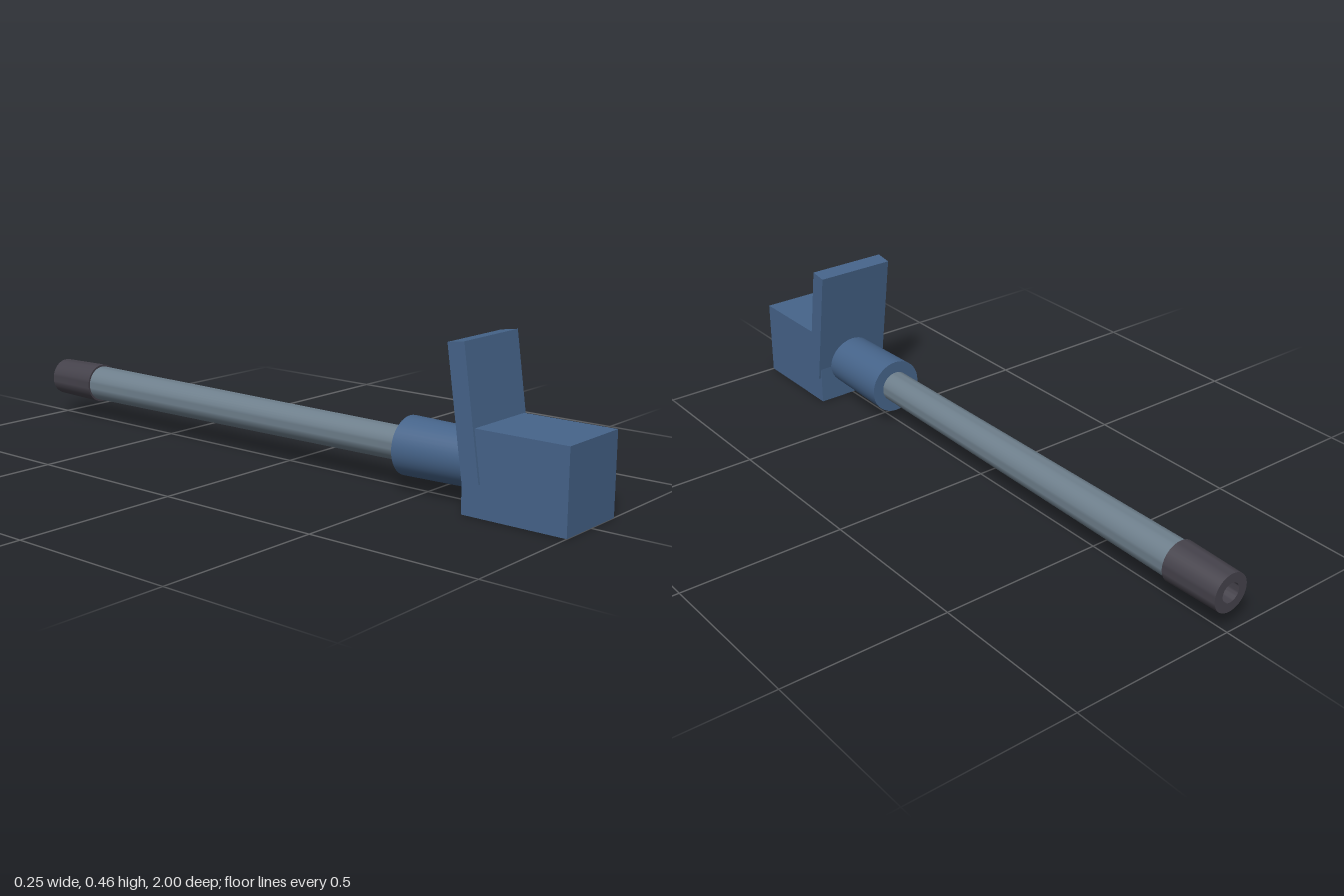
import * as THREE from 'three';
import { toCreasedNormals } from 'three/addons/utils/BufferGeometryUtils.js';

const AXIS_Y = 0.12;

export function createModel() {
  const model = new THREE.Group();
  model.name = 'rodWithBlock';

  const makeMaterial = (name, color) => {
    const material = new THREE.MeshStandardMaterial({ color });
    material.name = name;
    return material;
  };
  const blue = makeMaterial('steelBlue', 0x46648a);
  const grey = makeMaterial('slateGrey', 0x6e7f8c);
  const dark = makeMaterial('charcoal', 0x45424b);

  const add = (name, geometry, material, x, y, z) => {
    const mesh = new THREE.Mesh(geometry, material);
    mesh.name = name;
    mesh.position.set(x, y, z);
    model.add(mesh);
    return mesh;
  };

  // Turned part: [radius, distance toward the back] pairs, starting at z
  const addTurned = (name, profile, material, z) => {
    const points = profile.map(([r, d]) => new THREE.Vector2(r, d));
    const geometry = new THREE.LatheGeometry(points, 40).rotateX(-Math.PI / 2);
    return add(name, toCreasedNormals(geometry, 0.6), material, 0, AXIS_Y, z);
  };

  // Block at the front end
  add('block', new THREE.BoxGeometry(0.234, 0.234, 0.312), blue, 0, 0.117, 0.844);

  // Plate leaning back over the block
  const plate = add('leaningPlate', new THREE.BoxGeometry(0.248, 0.369, 0.052), blue, 0, 0.269, 0.6915);
  plate.rotation.x = -0.147;

  // Sleeve widening slightly toward the back
  addTurned('sleeve', [[0, 0], [0.079, 0], [0.084, 0.255], [0, 0.255]], blue, 0.69);

  // Long rod, slightly thicker at the far end
  addTurned('rod', [[0, 0], [0.048, 0], [0.055, 1.26], [0, 1.26]], grey, 0.44);

  // End cap with a blind bore
  addTurned('endCap', [
    [0, 0], [0.061, 0], [0.057, 0.18], [0.029, 0.18], [0.029, 0.03], [0, 0.03],
  ], dark, -0.82);

  return model;
}
